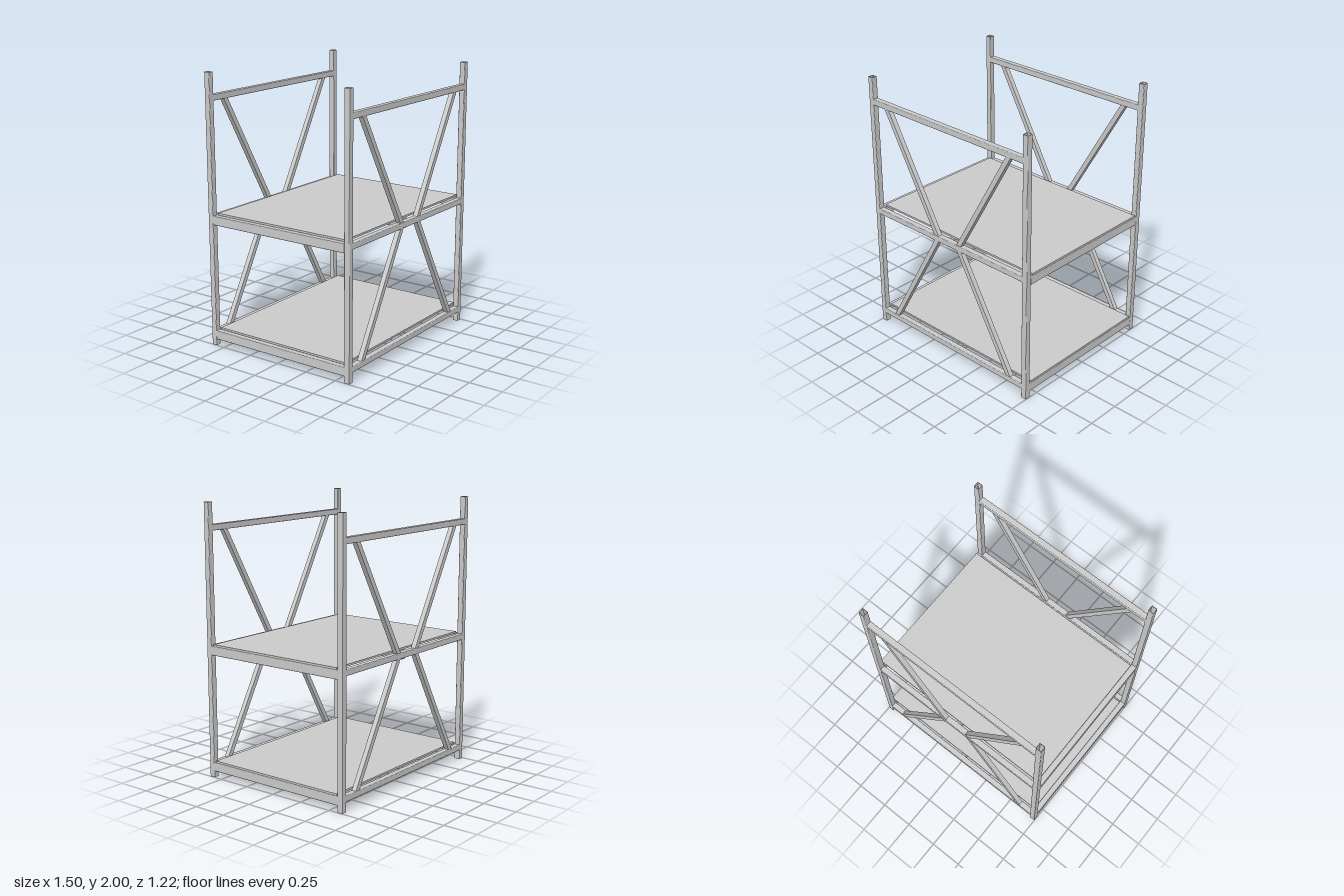
import * as THREE from 'three';

const material = new THREE.MeshStandardMaterial({ color: 0xcccccc, side: THREE.DoubleSide });

const POST_X = 0.726, POST_Z = 0.59; // post centre lines
const T = 0.043;                     // width of the square tube
const WALL = 0.003;

// Trace a rectangle with small rounded corners.
function roundRect(path, w, h, r) {
  const x = w / 2, y = h / 2;
  path.moveTo(-x + r, -y);
  path.lineTo(x - r, -y).quadraticCurveTo(x, -y, x, -y + r);
  path.lineTo(x, y - r).quadraticCurveTo(x, y, x - r, y);
  path.lineTo(-x + r, y).quadraticCurveTo(-x, y, -x, y - r);
  path.lineTo(-x, -y + r).quadraticCurveTo(-x, -y, -x + r, -y);
  return path;
}

// Hollow tube of section w x h, running along z and centred.
function tube(w, h, length) {
  const shape = roundRect(new THREE.Shape(), w, h, 0.005);
  shape.holes.push(roundRect(new THREE.Path(), w - 2 * WALL, h - 2 * WALL, 0.003));
  return new THREE.ExtrudeGeometry(shape, { depth: length, bevelEnabled: false, curveSegments: 3 })
    .translate(0, 0, -length / 2);
}

// Diagonal bar with ends cut level, from (x0, y0) up to (x1, y1).
function brace(x0, y0, x1, y1) {
  const w = 0.0205, depth = 0.036;
  const shape = new THREE.Shape([
    new THREE.Vector2(x0 - w, y0), new THREE.Vector2(x0 + w, y0),
    new THREE.Vector2(x1 + w, y1), new THREE.Vector2(x1 - w, y1),
  ]);
  return new THREE.ExtrudeGeometry(shape, { depth, bevelEnabled: false }).translate(0, 0, -depth / 2);
}

export function createModel() {
  const root = new THREE.Group();
  root.name = 'shelfRack';
  const add = (name, geometry, x, y, z) => {
    const mesh = new THREE.Mesh(geometry, material);
    mesh.name = name;
    mesh.position.set(x, y, z);
    root.add(mesh);
  };

  const post = tube(T, T, 2).rotateX(-Math.PI / 2);
  const rail = tube(T, T, 2 * POST_X).rotateY(Math.PI / 2);
  const railY = { lower: 0.0925, middle: 0.957, upper: 1.819 };

  // Front and back frames: posts, three rails and four diagonals
  for (const [face, sz] of [['front', 1], ['back', -1]]) {
    const z = sz * POST_Z;
    for (const [level, y] of Object.entries(railY)) add(`${face}${level}Rail`, rail, 0, y, z);
    for (const [side, sx] of [['Left', 1], ['Right', -1]]) {
      add(`${face}${side}Post`, post, sx * POST_X, 1, z);
      add(`${face}${side}UpperBrace`, brace(sx * 0.109, 0.978, sx * 0.576, 1.798), 0, 0, z);
      add(`${face}${side}LowerBrace`, brace(sx * 0.576, 0.113, sx * 0.109, 0.936), 0, 0, z);
    }
  }

  // Two shelves: side and centre beams carrying a thin deck
  const beamHeight = 0.066, deckHeight = 0.014;
  const beam = tube(T, beamHeight, 1.138);
  const deck = new THREE.BoxGeometry(1.452, deckHeight, 1.11);
  for (const [level, top] of [['lower', 0.114], ['upper', 0.979]]) {
    const y = top - beamHeight / 2;
    add(`${level}LeftBeam`, beam, POST_X, y, 0);
    add(`${level}CentreBeam`, beam, 0, y, 0);
    add(`${level}RightBeam`, beam, -POST_X, y, 0);
    add(`${level}Deck`, deck, 0.019, top + deckHeight / 2, -0.003);
  }
  return root;
}
